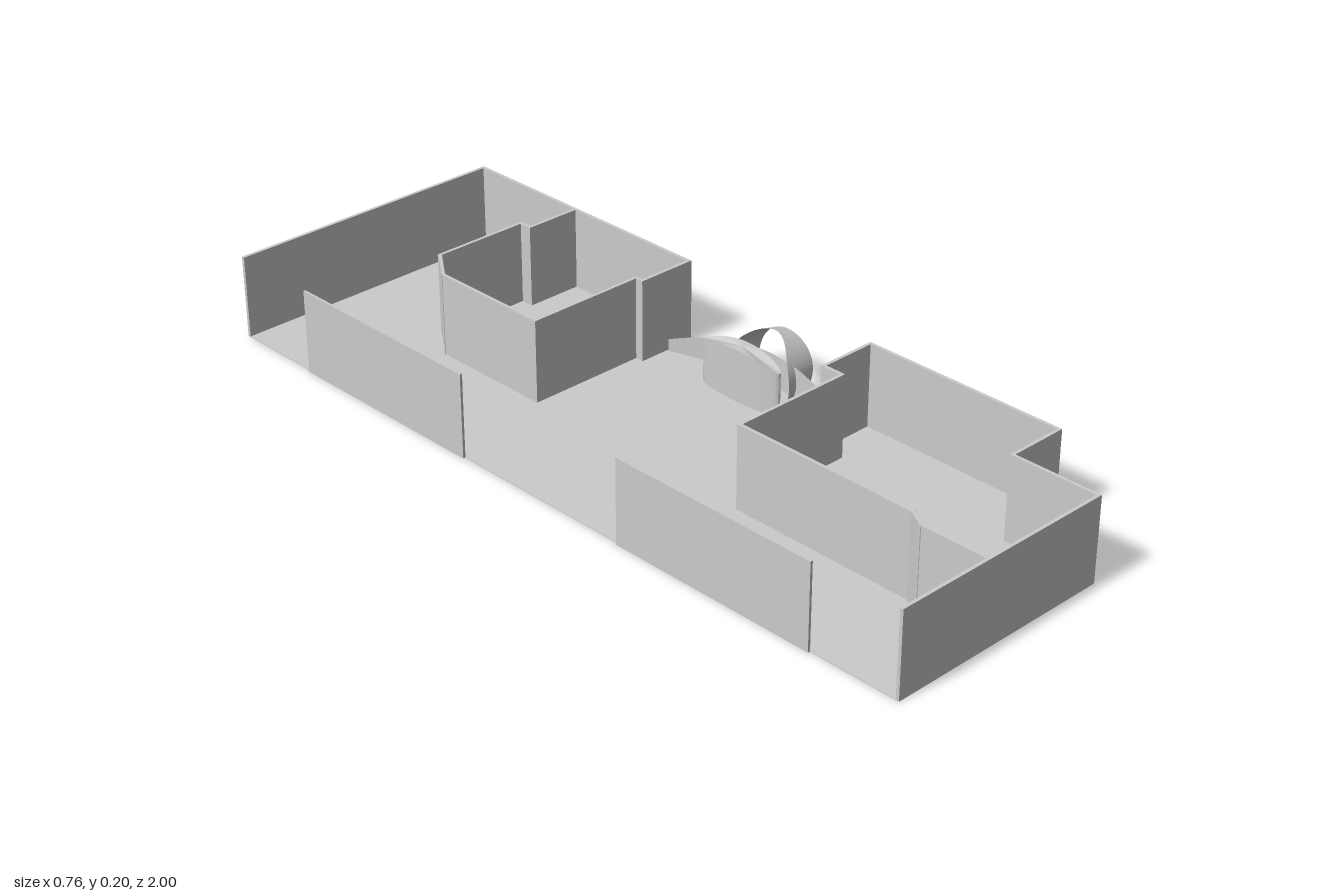
import * as THREE from 'three';

const H = 0.203, T = 0.008;
const mat = new THREE.MeshStandardMaterial({ color: 0xcccccc, side: THREE.DoubleSide, flatShading: true });
const smooth = new THREE.MeshStandardMaterial({ color: 0xcccccc, side: THREE.DoubleSide });

function add(parent, name, geo, material = mat) {
  const mesh = new THREE.Mesh(geo, material);
  mesh.name = name;
  parent.add(mesh);
  return mesh;
}

// Run of upright wall slabs along a list of [x, z] points
function wallRun(parent, name, pts, thick = T) {
  const run = new THREE.Group();
  run.name = name;
  for (let i = 0; i < pts.length - 1; i++) {
    const [ax, az] = pts[i], [bx, bz] = pts[i + 1];
    const len = Math.hypot(bx - ax, bz - az);
    const wall = add(run, 'wall', new THREE.BoxGeometry(len + thick * 0.98, H, thick));
    wall.position.set((ax + bx) / 2, H / 2, (az + bz) / 2);
    wall.rotation.y = -Math.atan2(bz - az, bx - ax);
  }
  parent.add(run);
}

// Surface swept by fn(u, v) -> [x, y, z]
function surface(fn, nu, nv) {
  const geo = new THREE.PlaneGeometry(1, 1, nu, nv);
  const p = geo.attributes.position, uv = geo.attributes.uv;
  for (let i = 0; i < p.count; i++) p.setXYZ(i, ...fn(uv.getX(i), uv.getY(i)));
  geo.computeVertexNormals();
  return geo;
}

export function createModel() {
  const model = new THREE.Group();
  model.name = 'floorPlan';

  // Floor slab with one corner cut away
  const outline = [[-0.378, -1], [0.341, -1], [0.341, -0.28], [0.335, -0.28], [0.335, 0.265],
    [0.341, 0.265], [0.341, 0.785], [0.195, 0.785], [0.195, 1], [-0.378, 1]];
  const floorShape = new THREE.Shape(outline.map(([x, z]) => new THREE.Vector2(x, -z)));
  add(model, 'floor', new THREE.ExtrudeGeometry(floorShape, { depth: 0.002, bevelEnabled: false })
    .rotateX(-Math.PI / 2));

  // Outer walls
  wallRun(model, 'rearOuterWalls', [[-0.374, -0.996], [0.337, -0.996], [0.337, -0.284]]);
  wallRun(model, 'frontOuterWalls', [[0.337, 0.269], [0.337, 0.781], [0.191, 0.781],
    [0.191, 0.996], [-0.374, 0.996]]);

  // Room partitions
  wallRun(model, 'rearRoomWalls', [[0.337, -0.665], [0.195, -0.665], [0.195, -0.697], [-0.048, -0.697],
    [-0.107, -0.615], [-0.107, -0.305], [0.192, -0.305], [0.192, -0.284], [0.337, -0.284]]);
  wallRun(model, 'frontRoomWalls', [[0.337, 0.269], [0.192, 0.269], [0.192, 0.322], [-0.111, 0.322],
    [-0.111, 0.785], [-0.136, 0.83], [-0.136, 0.996]]);

  // Thin panels along the far long side
  for (const [z0, z1] of [[-0.765, -0.23], [0.245, 0.775]]) {
    add(model, 'sidePanel', new THREE.BoxGeometry(0.006, H, z1 - z0))
      .position.set(-0.38, H / 2, (z0 + z1) / 2);
  }

  // Low curved screen at the entrance, highest in the middle
  add(model, 'curvedScreen', surface((u, v) => {
    const s = u * 2 - 1;
    return [0.316 - 0.052 * s * s, v * (0.082 - 0.05 * s * s), -0.005 + 0.27 * s];
  }, 32, 1), smooth);

  // Lens-shaped block with an arched top
  const lens = new THREE.CylinderGeometry(1, 1, 1, 40, 1).translate(0, 0.5, 0);
  const p = lens.attributes.position;
  for (let i = 0; i < p.count; i++) {
    const x = p.getX(i), y = p.getY(i), z = p.getZ(i);
    p.setXYZ(i, 0.229 + 0.022 * x, y * (0.13 - 0.024 * z * z), -0.008 + 0.117 * z);
  }
  // Centre of the cap follows the arch by a ridge of inner rings
  lens.computeVertexNormals();
  add(model, 'lensBlock', lens);

  // Flared entrance arch: a band around a circle cut off at the floor
  const drop = Math.asin(0.036 / 0.088);
  add(model, 'entranceArch', surface((u, v) => {
    const a = -drop + u * (Math.PI + 2 * drop);
    const up = Math.max(0, Math.sin(a));
    const r = 0.094 - 0.012 * v;
    const y = Math.max(0, 0.036 + r * Math.sin(a));
    const inner = 0.285 + 0.05 * up ** 3;
    const outer = 0.363 + 0.3 * y - 1.5 * y * y;
    return [inner + (outer - inner) * v, y, -0.01 + r * Math.cos(a)];
  }, 48, 6), smooth);

  return model;
}
